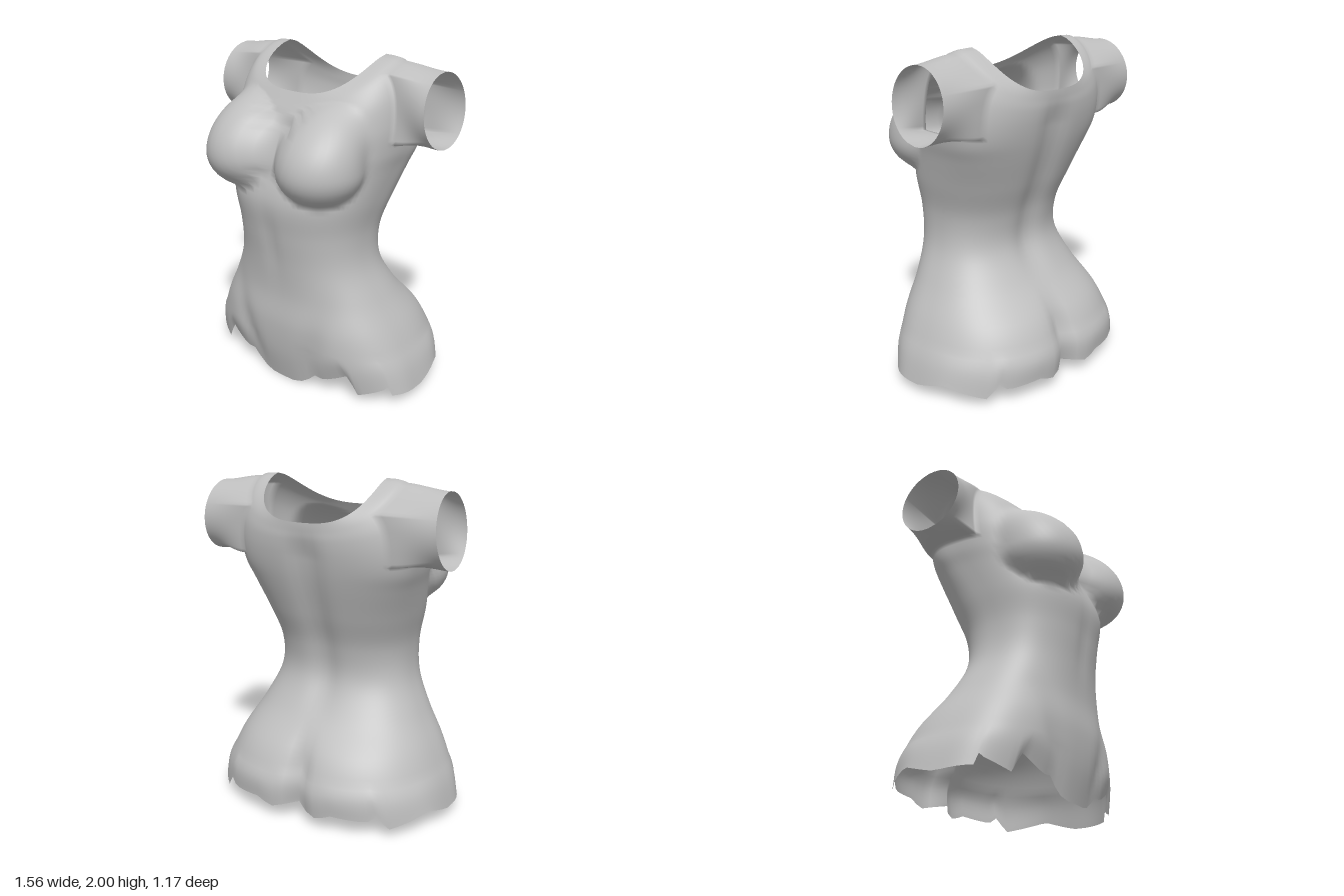
import * as THREE from 'three';

// Torso sections: front/back height, side height, half width, front z, back z, side z, roundness
const SECTIONS = [
  [0.00, 0.00, 0.760, 0.375, -0.590, 0.03, 0.80],
  [0.20, 0.20, 0.720, 0.420, -0.592, 0.03, 0.80],
  [0.40, 0.40, 0.640, 0.437, -0.510, 0.04, 0.80],
  [0.60, 0.60, 0.530, 0.425, -0.330, 0.07, 0.82],
  [0.80, 0.80, 0.442, 0.440, -0.225, 0.10, 0.84],
  [1.00, 1.00, 0.430, 0.468, -0.240, 0.10, 0.84],
  [1.20, 1.20, 0.475, 0.490, -0.312, 0.04, 0.80],
  [1.38, 1.38, 0.520, 0.440, -0.375, -0.06, 0.77],
  [1.50, 1.50, 0.555, 0.395, -0.410, -0.12, 0.76],
  [1.60, 1.66, 0.570, 0.355, -0.430, -0.13, 0.76],
  [1.69, 1.85, 0.550, 0.315, -0.440, -0.13, 0.76],
  [1.75, 1.98, 0.480, 0.280, -0.440, -0.13, 0.74],
  [1.80, 2.00, 0.365, 0.250, -0.440, -0.13, 0.68],
];
// Torn lower edge: degrees from the front, height
const HEM = [[0, 0], [6, 0], [14, 0.08], [17, 0.14], [19, 0.09], [34, 0.17], [37, 0.14], [39, 0.05],
  [60, 0.11], [63, 0.15], [66, 0.07], [93, 0.06], [110, 0.12], [137, 0.05], [141, 0.15],
  [147, 0.1], [165, 0.11], [172, 0.07], [180, 0.11]];
const SUB = 6;                        // rings between two sections
const N = 96;                         // points around a ring
const ROWS = (SECTIONS.length - 1) * SUB + 1;
const HOLE = { c0: 20, c1: 34, r0: 8 * SUB + 2, r1: 11 * SUB };  // armhole patch
const SLEEVE_STEPS = 10;

const { smoothstep: smooth, lerp } = THREE.MathUtils;
const bell = (v, width) => Math.exp(-((v / width) ** 2));

// Catmull-Rom blend between the sections
function section(row) {
  const i = Math.min(Math.floor(row / SUB), SECTIONS.length - 2);
  const t = row / SUB - i;
  const at = k => SECTIONS[THREE.MathUtils.clamp(k, 0, SECTIONS.length - 1)];
  return SECTIONS[i].map((_, k) => {
    const [a, b, c, d] = [at(i - 1)[k], at(i)[k], at(i + 1)[k], at(i + 2)[k]];
    return b + 0.5 * t * (c - a + t * (2 * a - 5 * b + 4 * c - d + t * (3 * (b - c) + d - a)));
  });
}

function hem(col) {
  const deg = Math.min(col, N - col) * 360 / N;
  const k = Math.max(1, HEM.findIndex(h => h[0] >= deg));
  const [d0, y0] = HEM[k - 1], [d1, y1] = HEM[k];
  return lerp(y0, y1, (deg - d0) / (d1 - d0));
}

// Bust: each height is pushed out to a circle, blended softly towards the collar
function pushBust(x, y, z) {
  const uy = (y - 1.42) / (y > 1.42 ? 0.36 : 0.205);
  if (Math.abs(uy) >= 1) return [x, z];
  const r2 = 0.0625 * (1 - uy * uy);
  const cx = 0.275, cz = 0.34 - 0.16 * Math.max(uy, 0) ** 2;
  const skin = Math.hypot(x, z);
  const along = (Math.abs(x) * cx + z * cz) / skin;
  const disc = r2 - (cx * cx + cz * cz - along * along);
  const reach = along + Math.sign(disc) * Math.sqrt(Math.abs(disc));
  const soft = lerp(0.015, 0.09, smooth(y, 1.28, 1.65));
  const out = Math.max(skin, reach) + Math.max(soft - Math.abs(skin - reach), 0) ** 2 / (4 * soft);
  return [x * out / skin, z * out / skin];
}

function bodyPoint(col, row) {
  const [yc, ys, w, f, b, zc, p] = section(row);
  const a = (col / N) * Math.PI * 2;
  const s = Math.sin(a), c = Math.cos(a);
  const depth = Math.abs(c) ** p;
  let x = w * Math.sign(s) * Math.abs(s) ** p;
  let y = lerp(ys, yc, depth ** 1.5);
  let z = zc + depth * (c > 0 ? f - zc : b - zc);
  if (c < 0) {
    y -= 0.035 * smooth(y, 1.5, 1.8) * -c;
    z += 0.09 * Math.exp(-Math.abs(x) / 0.08) * (1 - smooth(y, 0.3, 0.6));           // cleft
    z += 0.035 * bell(x, 0.09) * smooth(y, 0.5, 0.8) * (1 - smooth(y, 1.55, 1.76));  // spine
  } else {
    z -= 0.012 * bell(x, 0.05) * bell(y - 0.95, 0.2);                                // midline
    z -= 0.025 * bell(Math.abs(x) - 0.17 - 0.3 * y, 0.08) * bell(y - 0.25, 0.25);    // groin
    [x, z] = pushBust(x, y, z);
  }
  if (y < 0.3) {
    const h = hem(col);
    y = h + (y / 0.3) * (0.3 - h);
  }
  return [x, y, z];
}

export function createModel() {
  const grey = new THREE.MeshStandardMaterial({ color: 0xbfbfbf, side: THREE.DoubleSide });
  grey.name = 'grey';
  const group = new THREE.Group();
  group.name = 'torsoShell';

  const pos = [], bodyIndex = [];
  const id = (col, row) => row * N + ((col + N) % N);
  const quad = (list, a, b, c, d) => list.push(a, b, d, b, c, d);

  // Body rings, leaving the armholes open
  for (let r = 0; r < ROWS; r++) for (let i = 0; i < N; i++) pos.push(...bodyPoint(i, r));
  const inHole = (i, r) => r >= HOLE.r0 && r < HOLE.r1 &&
    ((i >= HOLE.c0 && i < HOLE.c1) || (N - 1 - i >= HOLE.c0 && N - 1 - i < HOLE.c1));
  for (let r = 0; r < ROWS - 1; r++) for (let i = 0; i < N; i++) {
    if (!inHole(i, r)) quad(bodyIndex, id(i, r), id(i + 1, r), id(i + 1, r + 1), id(i, r + 1));
  }

  // Sleeves grow from the armhole border to a round opening
  const border = [];
  for (let i = HOLE.c0; i < HOLE.c1; i++) border.push([i, HOLE.r0]);
  for (let r = HOLE.r0; r < HOLE.r1; r++) border.push([HOLE.c1, r]);
  for (let i = HOLE.c1; i > HOLE.c0; i--) border.push([i, HOLE.r1]);
  for (let r = HOLE.r1; r > HOLE.r0; r--) border.push([HOLE.c0, r]);
  const sleeveIndex = { 1: [], [-1]: [] };
  for (const side of [1, -1]) {
    let ring = border.map(([i, r]) => id(side * i, r));
    const start = ring.map(k => pos.slice(k * 3, k * 3 + 3));
    for (let n = 1; n <= SLEEVE_STEPS; n++) {
      const t = n / SLEEVE_STEPS, ease = smooth(t, 0, 1);
      const next = start.map(([x, y, z]) => {
        const a = Math.atan2(y - 1.735, z + 0.135);
        const ey = 1.735 + 0.213 * Math.sin(a), ez = -0.135 + 0.207 * Math.cos(a);
        const ex = side * (0.765 - 0.015 * Math.sin(a));
        pos.push(lerp(x, ex, t), lerp(y, ey, ease), lerp(z, ez, ease));
        return pos.length / 3 - 1;
      });
      for (let k = 0; k < ring.length; k++) {
        const m = (k + 1) % ring.length;
        if (side > 0) quad(sleeveIndex[side], ring[k], ring[m], next[m], next[k]);
        else quad(sleeveIndex[side], ring[m], ring[k], next[k], next[m]);
      }
      ring = next;
    }
  }

  // Shared points and normals keep the joins smooth
  const whole = new THREE.BufferGeometry();
  whole.setAttribute('position', new THREE.Float32BufferAttribute(pos, 3));
  whole.setIndex([...bodyIndex, ...sleeveIndex[1], ...sleeveIndex[-1]]);
  whole.computeVertexNormals();
  const addSkin = (name, index) => {
    const g = new THREE.BufferGeometry();
    g.setAttribute('position', whole.attributes.position);
    g.setAttribute('normal', whole.attributes.normal);
    g.setIndex(index);
    const mesh = new THREE.Mesh(g, grey);
    mesh.name = name;
    group.add(mesh);
  };
  addSkin('body', bodyIndex);
  addSkin('leftSleeve', sleeveIndex[1]);
  addSkin('rightSleeve', sleeveIndex[-1]);
  return group;
}
